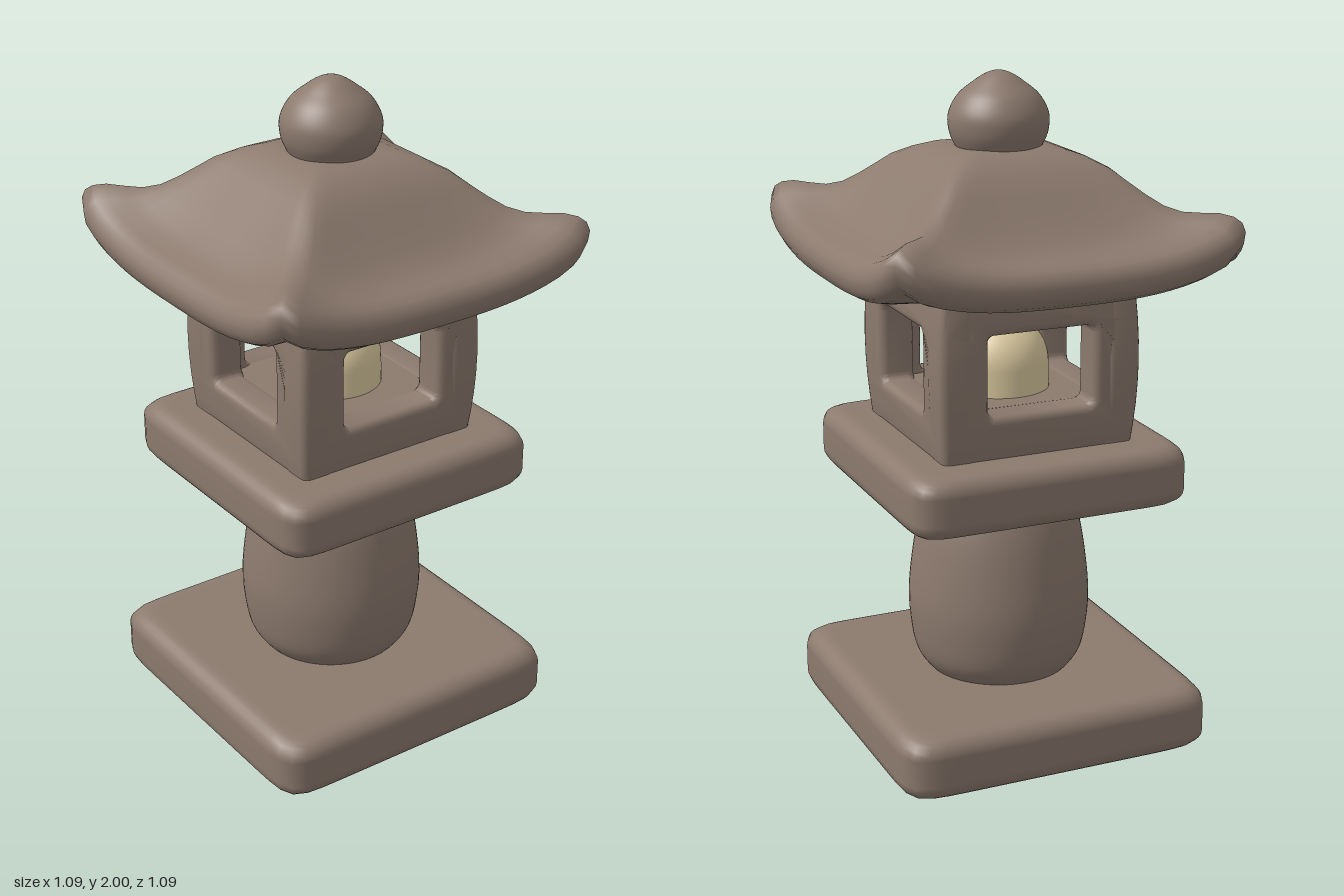
import * as THREE from 'three';
import { toCreasedNormals } from 'three/addons/utils/BufferGeometryUtils.js';

const SIDES = 96;

// Soft-cornered square loops stacked from top to bottom: [halfWidth, y, cornerLift]
function squareLoft(levels, softness = 14) {
  const pos = [], index = [];
  for (const [s, y, lift = 0] of levels) {
    for (let j = 0; j < SIDES; j++) {
      const a = (j / SIDES) * Math.PI * 2;
      const c = Math.abs(Math.cos(a)), n = Math.abs(Math.sin(a));
      const r = s / Math.pow(c ** softness + n ** softness, 1 / softness);
      const t = Math.min(c, n) / Math.max(c, n);
      pos.push(r * Math.cos(a), y + lift * t ** 3, r * Math.sin(a));
    }
  }
  for (let i = 0; i < levels.length - 1; i++) {
    for (let j = 0; j < SIDES; j++) {
      const k = (j + 1) % SIDES;
      const a = i * SIDES + j, b = i * SIDES + k;
      index.push(a, b, a + SIDES, b, b + SIDES, a + SIDES);
    }
  }
  const g = new THREE.BufferGeometry();
  g.setAttribute('position', new THREE.Float32BufferAttribute(pos, 3));
  g.setIndex(index);
  g.computeVertexNormals();
  return g;
}

// Square slab with rounded edges
function slab(half, y0, y1, r) {
  const levels = [[0, y1], [half - r * 1.3, y1]];
  for (let i = 0; i <= 6; i++) {
    const a = (i / 6) * Math.PI / 2;
    levels.push([half - r + r * Math.sin(a), y1 - r + r * Math.cos(a)]);
  }
  for (let i = 0; i <= 6; i++) {
    const a = (i / 6) * Math.PI / 2;
    levels.push([half - r + r * Math.cos(a), y0 + r - r * Math.sin(a)]);
  }
  levels.push([half - r * 1.3, y0], [0, y0]);
  return squareLoft(levels);
}

// Smooth turned shape through [radius, y] points, bottom to top
function turned(points) {
  const curve = new THREE.SplineCurve(points.map(([r, y]) => new THREE.Vector2(r, y)));
  const profile = curve.getPoints(40).map(p => p.setX(Math.max(p.x, 0)));
  return new THREE.LatheGeometry(profile, 64);
}

// One windowed wall of the light chamber, bowed slightly outwards
function wallPanel() {
  const half = 0.313, y0 = 0.93, y1 = 1.44, depth = 0.11, bevel = 0.025;
  const outline = [];
  for (let i = 0; i <= 8; i++) outline.push(new THREE.Vector2(half, y0 + (y1 - y0) * i / 8));
  for (let i = 8; i >= 0; i--) outline.push(new THREE.Vector2(-half, y0 + (y1 - y0) * i / 8));
  const shape = new THREE.Shape(outline);

  const w = 0.162, b = 1.073, t = 1.307, r = 0.02;
  const hole = new THREE.Path();
  hole.moveTo(-w + r, b);
  hole.absarc(-w + r, b + r, r, -Math.PI / 2, -Math.PI, true);
  hole.absarc(-w + r, t - r, r, Math.PI, Math.PI / 2, true);
  hole.absarc(w - r, t - r, r, Math.PI / 2, 0, true);
  hole.absarc(w - r, b + r, r, 0, -Math.PI / 2, true);
  hole.closePath();
  shape.holes.push(hole);

  const g = new THREE.ExtrudeGeometry(shape, {
    depth: depth - 2 * bevel, bevelSize: bevel, bevelOffset: -bevel,
    bevelThickness: bevel, bevelSegments: 4, curveSegments: 4,
  });
  g.translate(0, 0, half - depth + bevel);
  const p = g.attributes.position;
  for (let i = 0; i < p.count; i++) {
    const x = p.getX(i), y = p.getY(i), z = p.getZ(i);
    const bow = 1 - 0.05 * ((y - 1.19) / 0.25) ** 2;
    // keep the window opening straight
    p.setX(i, Math.abs(x) > 0.22 ? x * bow : x);
    p.setZ(i, z * bow);
  }
  return toCreasedNormals(g, 0.7);
}

export function createModel() {
  const stone = new THREE.MeshStandardMaterial({ color: 0x8c7a6e });
  stone.name = 'stone';
  const glow = new THREE.MeshStandardMaterial({ color: 0xdccba0 });
  glow.name = 'warmLight';

  const model = new THREE.Group();
  model.name = 'stoneLantern';
  const add = (name, geometry, material = stone, parent = model) => {
    const mesh = new THREE.Mesh(geometry, material);
    mesh.name = name;
    parent.add(mesh);
    return mesh;
  };

  add('base', slab(0.488, 0, 0.193, 0.055));
  add('pillar', turned([
    [0.19, 0.17], [0.225, 0.2], [0.255, 0.25], [0.27, 0.33], [0.275, 0.42],
    [0.265, 0.53], [0.245, 0.65], [0.215, 0.745], [0.19, 0.785],
  ]));
  add('platform', slab(0.43, 0.765, 0.945, 0.05));

  // Light chamber: four matching walls, floor and ceiling
  const chamber = new THREE.Group();
  chamber.name = 'lightChamber';
  model.add(chamber);
  const panel = wallPanel();
  for (let i = 0; i < 4; i++) {
    add('chamberWall' + (i + 1), panel, stone, chamber).rotation.y = i * Math.PI / 2;
  }
  for (const [name, y0, y1] of [['chamberFloor', 0.93, 1.07], ['chamberCeiling', 1.31, 1.43]]) {
    const g = new THREE.BoxGeometry(0.48, y1 - y0, 0.48);
    g.translate(0, (y0 + y1) / 2, 0);
    add(name, g, stone, chamber);
  }

  // Domed lamp inside the chamber
  const dome = [new THREE.Vector2(0.15, 1.06)];
  for (let i = 0; i <= 16; i++) {
    const a = (i / 16) * Math.PI / 2;
    dome.push(new THREE.Vector2(0.148 * Math.cos(a), 1.145 + 0.145 * Math.sin(a)));
  }
  add('lamp', new THREE.LatheGeometry(dome, 48), glow);

  // Curved roof with upswept corners
  add('roof', squareLoft([
    [0, 1.79], [0.1, 1.79], [0.15, 1.785], [0.2, 1.767], [0.25, 1.733, 0.008],
    [0.29, 1.693, 0.014], [0.33, 1.652, 0.022], [0.37, 1.612, 0.034],
    [0.41, 1.578, 0.055], [0.45, 1.556, 0.078], [0.49, 1.545, 0.092],
    [0.52, 1.533, 0.097], [0.538, 1.515, 0.1], [0.546, 1.49, 0.1],
    [0.543, 1.463, 0.095], [0.53, 1.44, 0.088], [0.505, 1.426, 0.078],
    [0.47, 1.42, 0.062], [0.4, 1.42, 0.03], [0.33, 1.42, 0.005],
    [0.3, 1.42], [0, 1.42],
  ]));

  add('finial', turned([
    [0.11, 1.765], [0.127, 1.79], [0.143, 1.83], [0.144, 1.88], [0.118, 1.93],
    [0.077, 1.965], [0.043, 1.988], [0.018, 1.998], [0, 2],
  ]));

  return model;
}
